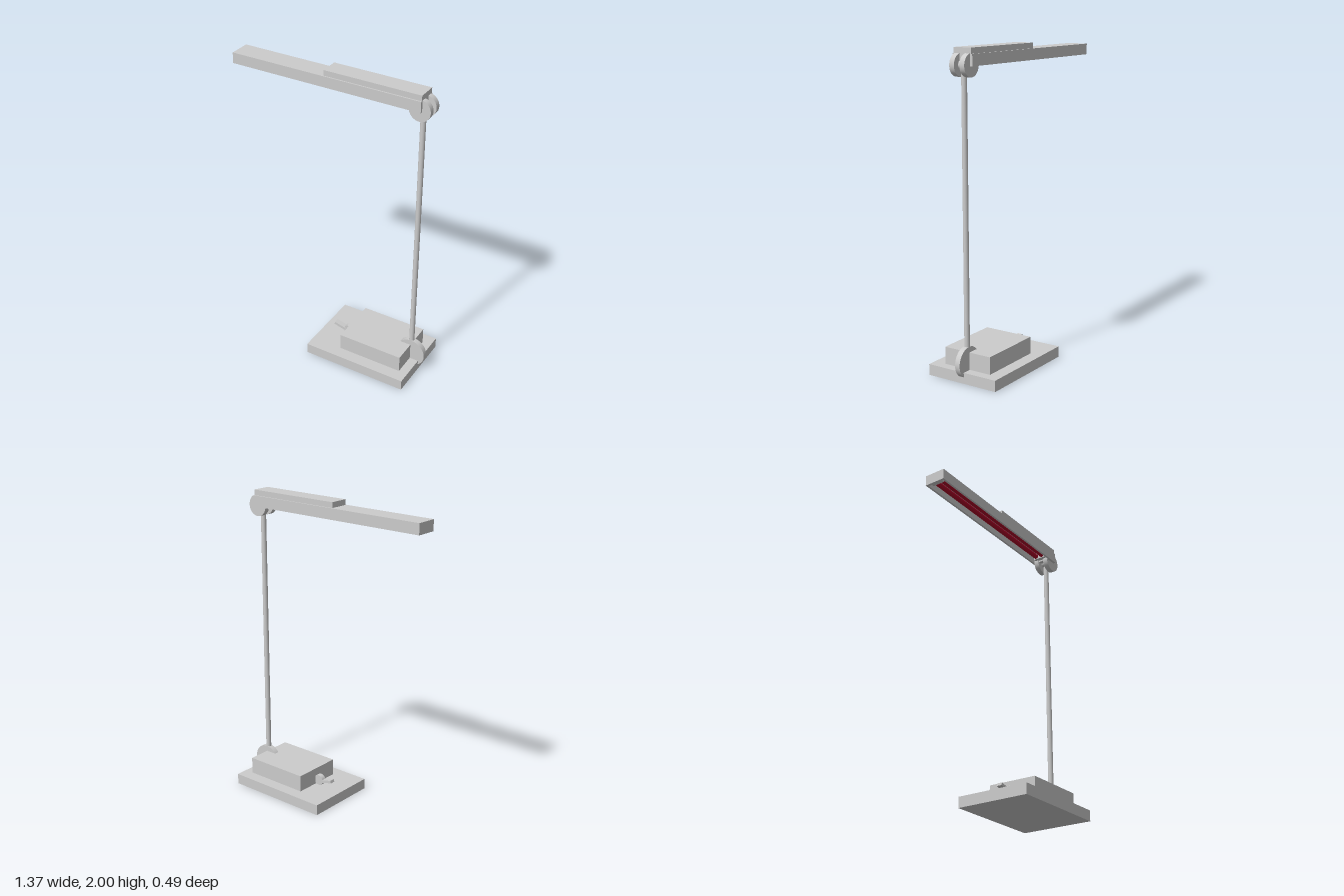
import * as THREE from 'three';

export function createModel() {
  const lamp = new THREE.Group();
  lamp.name = 'deskLamp';
  const grey = new THREE.MeshStandardMaterial({ color: 0xcccccc });
  const red = new THREE.MeshStandardMaterial({ color: 0xb00028 });

  const add = (name, geometry, x, y, z, material = grey) => {
    const mesh = new THREE.Mesh(geometry, material);
    mesh.name = name;
    mesh.position.set(x, y, z);
    lamp.add(mesh);
    return mesh;
  };
  // Box given by its limits on each axis
  const box = (name, x0, x1, y0, y1, z0, z1) =>
    add(name, new THREE.BoxGeometry(x1 - x0, y1 - y0, z1 - z0),
      (x0 + x1) / 2, (y0 + y1) / 2, (z0 + z1) / 2);
  // Disc with its axis along z
  const disc = (name, r, width, x, y, z) =>
    add(name, new THREE.CylinderGeometry(r, r, width, 48).rotateX(Math.PI / 2), x, y, z);
  // Rod with its axis along x
  const rod = (name, r, x0, x1, y, z, material) =>
    add(name, new THREE.CylinderGeometry(r, r, x1 - x0, 20).rotateZ(Math.PI / 2),
      (x0 + x1) / 2, y, z, material);

  // Base and raised housing
  box('base', -0.07, 0.64, 0, 0.07, -0.247, 0.247);
  box('housing', 0.14, 0.58, 0.07, 0.18, -0.167, 0.167);

  // Rocker switch with its sloping lever
  disc('switchPivot', 0.036, 0.03, 0.115, 0.103, 0);
  const lever = box('switchLever', 0.005, 0.105, 0.102, 0.12, -0.018, 0.018);
  lever.rotation.z = -0.24;

  // Lower hinge, pole and forked upper hinge
  disc('lowerHinge', 0.097, 0.034, 0.583, 0.12, 0);
  add('pole', new THREE.CylinderGeometry(0.017, 0.017, 1.76, 24), 0.58, 1.03, 0);
  disc('poleKnuckle', 0.03, 0.04, 0.58, 1.9, 0);
  for (const side of [-1, 1]) disc('upperHinge', 0.069, 0.034, 0.58, 1.9, side * 0.036);

  // Lamp head: rectangular rim, open underneath, closed by a roof
  const rim = new THREE.Shape();
  rim.moveTo(-0.685, -0.07).lineTo(0.595, -0.07).lineTo(0.595, 0.07).lineTo(-0.685, 0.07).closePath();
  const opening = new THREE.Path();
  opening.moveTo(-0.67, -0.057).lineTo(-0.67, 0.057).lineTo(0.52, 0.057).lineTo(0.52, -0.057).closePath();
  rim.holes.push(opening);
  const rimGeometry = new THREE.ExtrudeGeometry(rim, { depth: 0.055, bevelEnabled: false });
  add('headRim', rimGeometry.rotateX(-Math.PI / 2), 0, 1.895, 0);
  box('headRoof', -0.685, 0.595, 1.95, 1.965, -0.07, 0.07);
  box('headCover', -0.045, 0.595, 1.965, 2, -0.061, 0.061);

  // Twin light tubes held by sockets
  for (const side of [-1, 1]) rod('lightTube', 0.016, -0.64, 0.5, 1.925, side * 0.023, red);
  box('tubeSocket', -0.67, -0.64, 1.905, 1.95, -0.042, 0.042);
  box('tubeSocket', 0.49, 0.52, 1.905, 1.95, -0.042, 0.042);

  return lamp;
}
